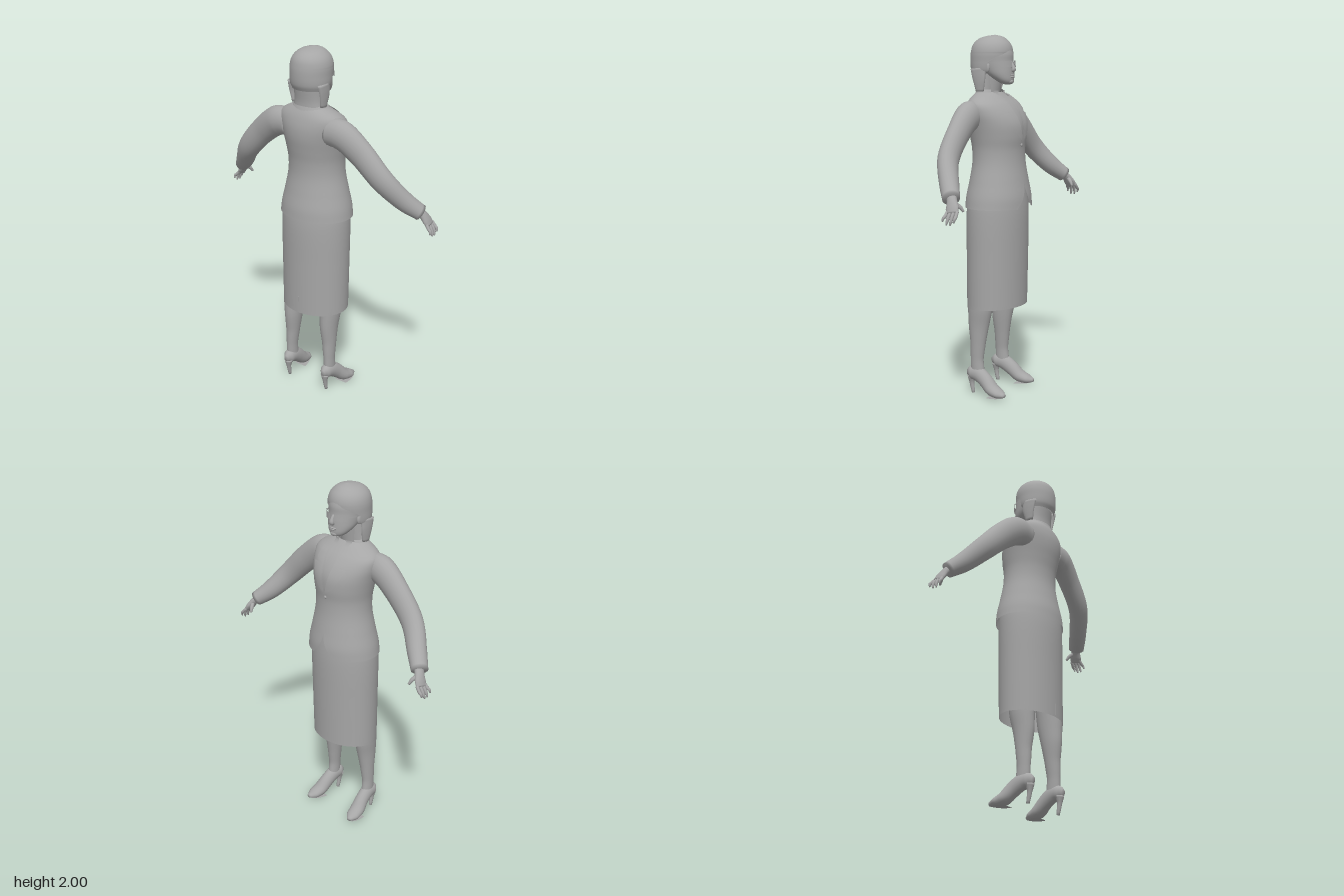
import * as THREE from 'three';
import { mergeVertices } from 'three/addons/utils/BufferGeometryUtils.js';

const grey = new THREE.MeshStandardMaterial({ color: 0xa6a6a6, side: THREE.DoubleSide });
grey.name = 'plain grey';

// Smooth surface from a rule f(u, v) -> [x, y, z]
function surface(name, nu, nv, f) {
  const pos = [], idx = [], w = nu + 1;
  for (let j = 0; j <= nv; j++)
    for (let i = 0; i <= nu; i++) pos.push(...f(i / nu, j / nv));
  for (let j = 0; j < nv; j++)
    for (let i = 0; i < nu; i++) {
      const a = j * w + i;
      idx.push(a, a + 1, a + w, a + 1, a + w + 1, a + w);
    }
  let g = new THREE.BufferGeometry();
  g.setAttribute('position', new THREE.Float32BufferAttribute(pos, 3));
  g.setIndex(idx);
  g = mergeVertices(g, 1e-5);
  g.computeVertexNormals();
  const m = new THREE.Mesh(g, grey);
  m.name = name;
  return m;
}

// Smooth lookup in rows keyed by their first number
function at(rows, y) {
  let i = 0;
  while (i < rows.length - 2 && y > rows[i + 1][0]) i++;
  const slope = (k, c) => {
    const a = rows[Math.max(k - 1, 0)], b = rows[Math.min(k + 1, rows.length - 1)];
    return (b[c] - a[c]) / (b[0] - a[0]);
  };
  const p = rows[i], q = rows[i + 1], h = q[0] - p[0];
  const t = Math.min(1, Math.max(0, (y - p[0]) / h)), t2 = t * t, t3 = t2 * t;
  return p.map((v, c) => c === 0 ? y :
    (2 * t3 - 3 * t2 + 1) * v + (t3 - 2 * t2 + t) * h * slope(i, c) +
    (3 * t2 - 2 * t3) * q[c] + (t3 - t2) * h * slope(i + 1, c));
}

// Point on an oval body: rows are [y, half width, back z, front z]; angle 0 is the face side
function oval(rows, y, a, grow = 0) {
  const [, rx, zb, zf] = at(rows, y);
  return [(rx + grow) * Math.sin(a), y, (zb + zf) / 2 - ((zb - zf) / 2 + grow) * Math.cos(a)];
}
function loft(name, rows, { nu = 40, nv = 28, gap = () => 0, grow = 0, hem = () => 0 } = {}) {
  const y0 = rows[0][0], y1 = rows[rows.length - 1][0];
  return surface(name, nu, nv, (u, v) => {
    const y = y0 + (y1 - y0) * v, g = gap(y), a = g + u * (2 * Math.PI - 2 * g);
    const p = oval(rows, y, a, grow);
    p[1] += hem(a) * (1 - v);
    return p;
  });
}

// Capped limb through rows [x, y, z, radius across, radius along ref]
function limb(name, rows, ref, nu = 14, nv = 20) {
  const curve = new THREE.CatmullRomCurve3(rows.map(r => new THREE.Vector3(r[0], r[1], r[2])));
  const refV = new THREE.Vector3(...ref);
  return surface(name, nu, nv + 2, (u, v) => {
    const k = Math.round(v * (nv + 2)), t = Math.min(1, Math.max(0, (k - 1) / nv));
    const s = t * (rows.length - 1), i = Math.min(rows.length - 2, Math.floor(s)), f = s - i;
    const open = k === 0 || k === nv + 2 ? 0 : 1;
    const r = c => open * (rows[i][c] * (1 - f) + rows[i + 1][c] * f);
    const tan = curve.getTangent(t);
    const side = new THREE.Vector3().crossVectors(tan, refV).normalize();
    const n = new THREE.Vector3().crossVectors(side, tan).normalize();
    return curve.getPoint(t).addScaledVector(side, r(3) * Math.cos(u * 2 * Math.PI))
      .addScaledVector(n, r(4) * Math.sin(u * 2 * Math.PI)).toArray();
  });
}

function ball(name, x, y, z, rx, ry, rz) {
  const m = new THREE.Mesh(new THREE.SphereGeometry(1, 16, 12), grey);
  m.position.set(x, y, z);
  m.scale.set(rx, ry, rz);
  m.name = name;
  return m;
}

const torso = [
  [1.06, .215, .175, -.175], [1.12, .207, .17, -.173], [1.2, .188, .155, -.16],
  [1.3, .167, .14, -.144], [1.38, .164, .141, -.14], [1.45, .175, .152, -.147],
  [1.52, .19, .163, -.143], [1.58, .203, .163, -.118], [1.63, .2, .152, -.08],
  [1.66, .16, .14, -.045], [1.69, .095, .122, -.012]];
const skirt = [[.497, .2, .167, -.148], [.8, .204, .168, -.153], [1.0, .206, .168, -.155],
  [1.1, .2, .16, -.15], [1.22, .17, .14, -.135]];
const head = [[1.732, .012, -.04, -.07], [1.738, .034, -.02, -.08], [1.755, .056, .01, -.086],
  [1.785, .076, .06, -.086], [1.82, .086, .1, -.084], [1.86, .091, .12, -.08],
  [1.9, .093, .13, -.078], [1.95, .08, .12, -.055], [1.985, .03, .07, -.01]];
const hair = [[1.782, .1, .145, -.03], [1.81, .112, .158, -.055], [1.86, .115, .163, -.07],
  [1.91, .114, .16, -.074], [1.95, .1, .147, -.062], [1.98, .07, .115, -.035],
  [1.993, .04, .075, -.012], [2.0, .002, .026, .022]];

// Half width of the jacket opening: neckline above, rounded cutaway below
const opening = y => y > 1.42 ? (y - 1.42) * .21 : y < 1.2 ? .075 * ((1.2 - y) / .14) ** 2 : 0;
const angleOf = (rows, y, x) => Math.asin(Math.min(.98, x / at(rows, y)[1]));

export function createModel() {
  const model = new THREE.Group();
  model.name = 'woman in suit';

  // Clothes on the body
  model.add(loft('jacket', torso, { nu: 56, nv: 44, gap: y => angleOf(torso, y, opening(y)) }));
  model.add(loft('blouse', torso.slice(2), { grow: -.012 }));
  model.add(loft('skirt', skirt, { hem: a => .008 * Math.cos(a) }));
  const slit = new THREE.Mesh(new THREE.BoxGeometry(.004, .09, .004), grey);
  slit.position.set(0, .545, .167);
  slit.name = 'skirtSlit';
  model.add(slit);
  model.add(ball('jacketButton', 0, 1.405, -.145, .009, .009, .005));

  // Standing collar round the back of the neck
  model.add(surface('jacketCollar', 28, 4, (u, v) => {
    const a = .75 + u * (2 * Math.PI - 1.5);
    return [(.112 - .022 * v) * Math.sin(a), 1.672 + .032 * v, .058 - (.075 - .012 * v) * Math.cos(a)];
  }));

  // Head, neck and face
  model.add(limb('neck', [[0, 1.6, .055, .06, .05], [0, 1.68, .05, .052, .048],
    [0, 1.78, .035, .055, .055]], [0, 0, 1], 20));
  model.add(loft('head', head, { nu: 32 }));
  model.add(limb('nose', [[0, 1.852, -.078, .008, .006], [0, 1.83, -.09, .01, .009],
    [0, 1.812, -.095, .015, .011], [0, 1.803, -.086, .012, .008]], [0, 0, 1], 10, 10));
  model.add(ball('upperLip', 0, 1.781, -.084, .024, .005, .008));
  model.add(ball('lowerLip', 0, 1.772, -.083, .02, .006, .008));
  model.add(ball('chin', 0, 1.748, -.075, .024, .014, .014));

  // Hair: cap open at the face, nape and loose locks
  model.add(loft('hair', hair, {
    nv: 36, gap: y => y > 1.9 ? 0 : 1.22 * Math.min(1, Math.sqrt((1.9 - y) / .05))
  }));
  model.add(loft('napeHair', [[1.675, .092, .125, .02], [1.72, .086, .125, .015],
    [1.79, .086, .135, .01]], { nv: 8 }));

  for (const s of [1, -1]) {
    const side = new THREE.Group();
    side.name = s > 0 ? 'leftSide' : 'rightSide';
    const mir = rows => rows.map(([x, ...rest]) => [x * s, ...rest]);

    // Lapel lying on the jacket, with a notch near the collar
    const lapel = [[1.425, .004], [1.47, .055], [1.53, .09], [1.578, .112], [1.582, .085],
      [1.592, .083], [1.597, .1], [1.64, .1], [1.685, .088]];
    side.add(surface('lapel', 6, 48, (u, v) => {
      const y = 1.425 + .26 * v;
      let i = 0;
      while (i < lapel.length - 2 && y > lapel[i + 1][0]) i++;
      const [p, q] = [lapel[i], lapel[i + 1]];
      const outer = p[1] + (q[1] - p[1]) * (y - p[0]) / (q[0] - p[0]);
      const x = opening(y) + (outer - opening(y)) * u;
      return oval(torso, y, s * angleOf(torso, y, x), .007);
    }));
    // Blouse collar point
    side.add(surface('blouseCollar', 4, 8, (u, v) => {
      const y = 1.58 + .12 * v;
      const x = .03 + .015 * v + (u - .5) * .035 * Math.min(1, v * 2);
      const p = oval(torso, Math.min(y, 1.685), s * angleOf(torso, Math.min(y, 1.685), x), -.003);
      return [p[0], y, p[2]];
    }));

    // Sleeve and cuff
    side.add(limb('sleeve', mir([[.13, 1.568, .068, .075, .06], [.215, 1.562, .064, .083, .066],
      [.33, 1.482, .053, .075, .056], [.46, 1.352, .033, .066, .054],
      [.555, 1.24, -.035, .054, .051], [.622, 1.178, -.09, .042, .046]]), [0, 0, 1], 20, 32));

    // Hand with four fingers and a thumb
    side.add(limb('palm', mir([[.605, 1.195, -.08, .024, .026], [.63, 1.165, -.1, .02, .028],
      [.648, 1.135, -.113, .017, .036], [.662, 1.11, -.12, .012, .034]]), [0, 0, 1], 14, 12));
    for (let i = 0; i < 4; i++) {
      const z = -.147 + i * .018, tip = [1.068, 1.054, 1.054, 1.07][i];
      side.add(limb('finger', mir([[.655, 1.122, z, .009, .009], [.677, 1.095, z - .004 + i * .003, .009, .009],
        [.687, tip + .018, z - .004 + i * .004, .008, .008],
        [.69, tip, z + i * .004, .004, .004]]), [0, 0, 1], 8, 8));
    }
    side.add(limb('thumb', mir([[.628, 1.157, -.115, .012, .012], [.614, 1.138, -.138, .011, .011],
      [.605, 1.115, -.153, .006, .006]]), [1, 0, 0], 8, 8));

    // Leg
    side.add(limb('leg', mir([[.125, .72, .03, .065, .08], [.13, .5, .043, .055, .074],
      [.129, .4, .053, .047, .062], [.133, .3, .056, .038, .046], [.137, .2, .06, .03, .038],
      [.138, .12, .055, .029, .042]]), [0, 0, 1], 18, 28));
    // Shoe with its slim heel
    side.add(limb('shoe', mir([[.136, .112, .122, .012, .018], [.137, .118, .095, .034, .04],
      [.14, .115, .05, .036, .045], [.145, .085, 0, .038, .042], [.154, .043, -.05, .044, .036],
      [.162, .027, -.1, .038, .025], [.168, .022, -.135, .012, .01]]), [0, 1, 0], 18, 28));
    side.add(limb('heel', mir([[.136, .1, .098, .027, .024], [.136, .06, .097, .014, .014],
      [.136, 0, .086, .009, .01]]), [0, 0, 1], 10, 8));
    side.add(surface('sole', 6, 8, (u, v) => [s * (.153 + .012 * v + (u - .5) * .078 * Math.sqrt(1 - .8 * v * v)),
      .001 + .01 * v * v, -.03 - .095 * v]));

    // Loose lock, ear, eye and glasses
    side.add(limb('hairLock', mir([[.1, 1.82, .07, .015, .05], [.102, 1.76, .065, .011, .04],
      [.094, 1.695, .065, .012, .025]]), [0, 0, 1], 12, 10));
    side.add(ball('ear', s * .091, 1.825, .02, .01, .028, .017));
    side.add(ball('eye', s * .036, 1.842, -.07, .016, .009, .008));
    side.add(surface('glasses', 12, 3, (u, v) => {
      const y = 1.826 + .034 * v;
      return oval(head, y, s * (.14 + .75 * u), .01);
    }));
    side.add(surface('glassesArm', 12, 1, (u, v) => oval(head, 1.845 + .008 * v, s * (.85 + .75 * u), .01)));
    model.add(side);
  }
  return model;
}
